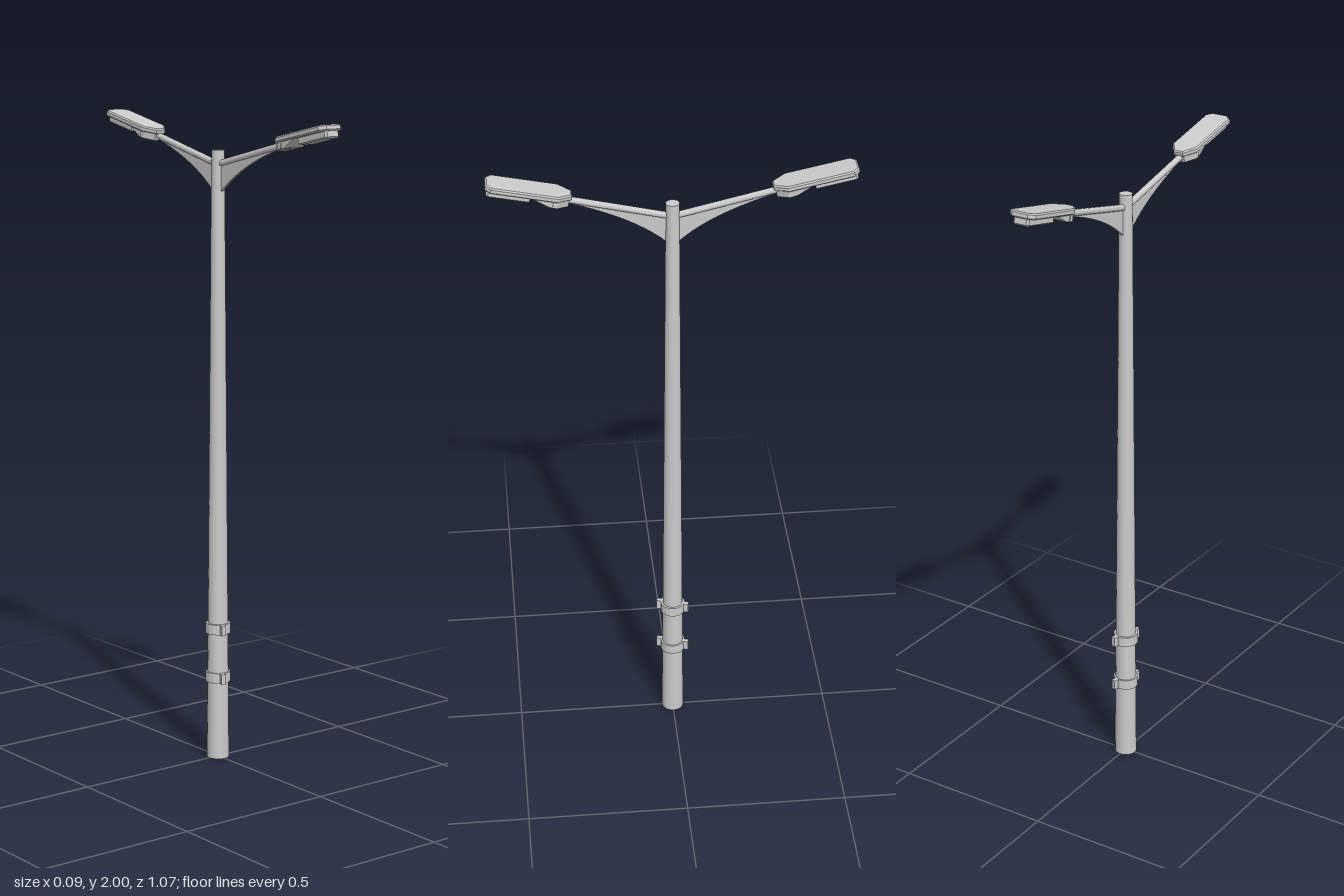
import * as THREE from 'three';

const grey = new THREE.MeshStandardMaterial({ color: 0xcccccc });
const flatGrey = new THREE.MeshStandardMaterial({ color: 0xcccccc, flatShading: true });

function add(parent, name, geometry, material = flatGrey) {
  const mesh = new THREE.Mesh(geometry, material);
  mesh.name = name;
  parent.add(mesh);
  return mesh;
}

const shapeOf = (pts) => new THREE.Shape(pts.map(([x, y]) => new THREE.Vector2(x, y)));

// Symmetric plan outline from [halfWidth, distance] pairs
const mirrored = (half) =>
  shapeOf([...half, ...half.slice().reverse().map(([x, y]) => [-x, y])]);

// Plan outline (x, z) extruded downwards from y = top
function slab(shape, top, depth, bevel = 0) {
  const g = new THREE.ExtrudeGeometry(shape, {
    depth: depth - 2 * bevel, bevelEnabled: bevel > 0, bevelSize: bevel,
    bevelOffset: -bevel, bevelThickness: bevel, bevelSegments: 1,
  });
  return g.rotateX(Math.PI / 2).translate(0, top - bevel, 0);
}

// Side outline (z, y) extruded across x, centred
function sideSlab(shape, width) {
  const g = new THREE.ExtrudeGeometry(shape, { depth: width, bevelEnabled: false, curveSegments: 10 });
  return g.translate(0, 0, -width / 2).rotateY(-Math.PI / 2);
}

// Lamp head, pointing along +z from its inner end
function createLamp() {
  const lamp = new THREE.Group();
  lamp.name = 'lampHead';
  const cover = mirrored([[0.016, 0], [0.043, 0.04], [0.043, 0.234], [0.026, 0.25]]);
  add(lamp, 'lampCover', slab(cover, 0, 0.018, 0.004));

  const housing = mirrored([[0.016, 0.005], [0.038, 0.038], [0.038, 0.052]]);
  add(lamp, 'lampHousing', slab(housing, -0.014, 0.025, 0.002));

  // Sloping rear of the housing
  const wedge = shapeOf([[0.05, -0.015], [0.05, -0.038], [0.062, -0.038], [0.108, -0.02], [0.112, -0.015]]);
  add(lamp, 'housingSlope', sideSlab(wedge, 0.07));

  const lens = mirrored([[0.026, 0.118], [0.026, 0.238], [0.02, 0.244]]);
  add(lamp, 'lens', slab(lens, -0.014, 0.025, 0.004));

  lamp.position.set(0, 1.949, 0.287);
  lamp.rotation.x = -0.21;
  return lamp;
}

// One arm with its gusset and lamp, reaching along +z
function createArm() {
  const arm = new THREE.Group();
  arm.name = 'arm';
  const start = new THREE.Vector3(0, 1.857, 0);
  const end = new THREE.Vector3(0, 1.929, 0.305);
  add(arm, 'armTube', new THREE.TubeGeometry(new THREE.LineCurve3(start, end), 1, 0.01, 10), grey);

  const fin = new THREE.Shape();
  fin.moveTo(0.0, 1.858);
  fin.lineTo(0.0, 1.765);
  fin.lineTo(0.018, 1.775);
  fin.quadraticCurveTo(0.11, 1.86, 0.3, 1.919);
  fin.lineTo(0.3, 1.928);
  fin.closePath();
  add(arm, 'armGusset', sideSlab(fin, 0.008));

  arm.add(createLamp());
  return arm;
}

// Two-piece band with a bolted lug on either side
function createClamp(y) {
  const clamp = new THREE.Group();
  clamp.name = 'clamp';
  add(clamp, 'clampBand', new THREE.CylinderGeometry(0.0385, 0.0385, 0.032, 16));
  for (const s of [-1, 1]) {
    const lug = add(clamp, 'clampLug', new THREE.BoxGeometry(0.014, 0.032, 0.024));
    lug.position.z = s * 0.04;
  }
  clamp.position.y = y;
  clamp.rotation.y = -0.3;
  return clamp;
}

export function createModel() {
  const model = new THREE.Group();
  model.name = 'streetLight';

  const pole = add(model, 'pole', new THREE.CylinderGeometry(0.02, 0.035, 1.9, 20), grey);
  pole.position.y = 0.95;

  for (const y of [0.262, 0.418]) model.add(createClamp(y));

  for (const angle of [0, Math.PI]) {
    const arm = createArm();
    arm.rotation.y = angle;
    model.add(arm);
  }
  return model;
}
